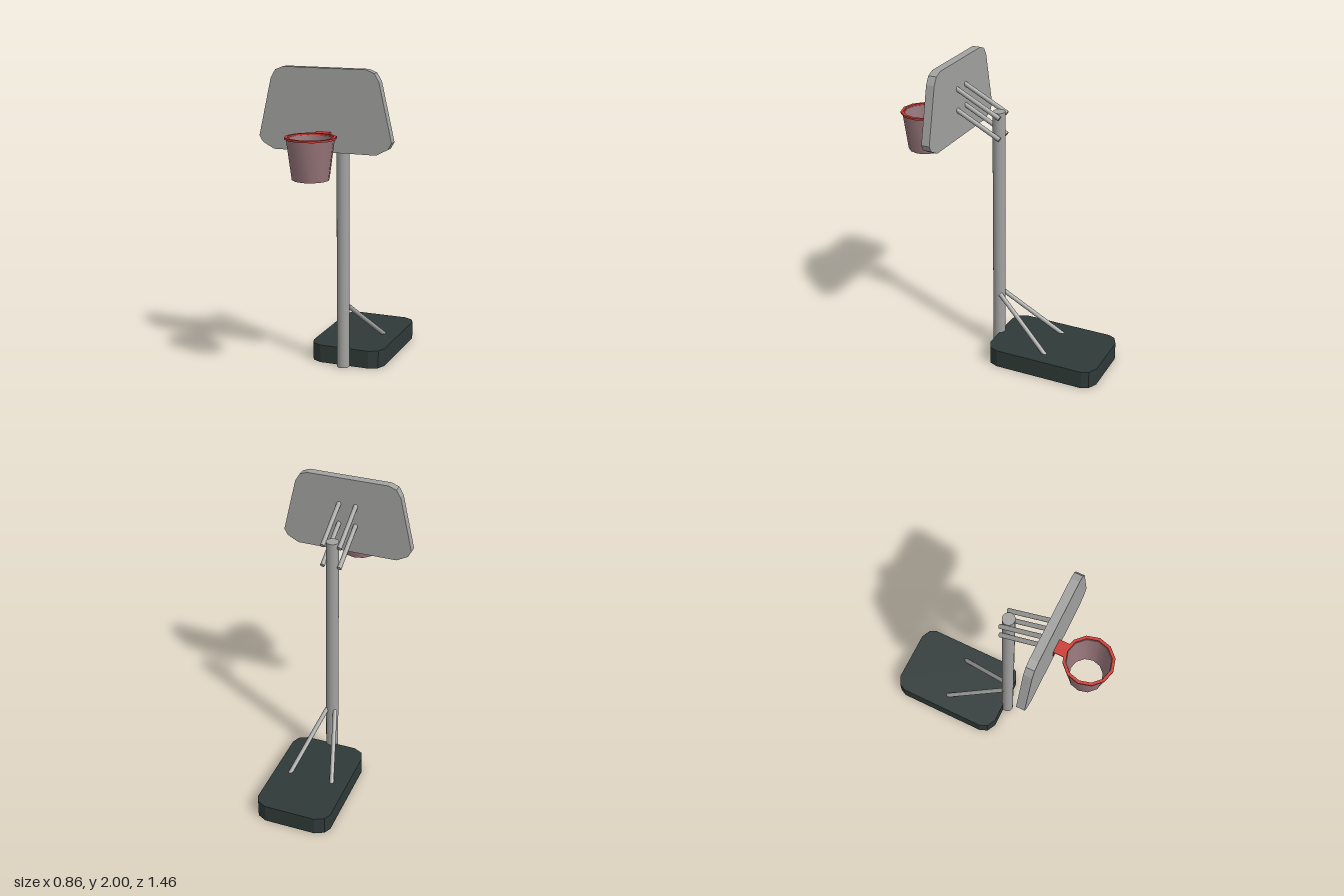
import * as THREE from 'three';
import { toCreasedNormals } from 'three/addons/utils/BufferGeometryUtils.js';

const mat = (name, color) => {
  const m = new THREE.MeshStandardMaterial({ color });
  m.name = name;
  return m;
};

export function createModel() {
  const model = new THREE.Group();
  const grey = mat('metal grey', 0xa2a3a1);
  const dark = mat('base dark green', 0x2f3a38);
  const red = mat('rim red', 0xcb3a32);
  const pink = mat('net dusty pink', 0x98777b);

  const add = (name, geometry, material, x = 0, y = 0, z = 0) => {
    const mesh = new THREE.Mesh(geometry, material);
    mesh.name = name;
    mesh.position.set(x, y, z);
    model.add(mesh);
    return mesh;
  };

  // Round bar between two points
  const bar = (name, a, b, radius) => {
    const from = new THREE.Vector3(...a), to = new THREE.Vector3(...b);
    const dir = to.clone().sub(from);
    const mesh = add(name, new THREE.CylinderGeometry(radius, radius, dir.length(), 12), grey);
    mesh.position.copy(from).add(to).multiplyScalar(0.5);
    mesh.quaternion.setFromUnitVectors(new THREE.Vector3(0, 1, 0), dir.normalize());
  };

  // Symmetric plate: right half outline from bottom to top, mirrored
  const plate = (half, depth) => {
    const mirrored = half.map(([x, y]) => [-x, y]).reverse();
    const shape = new THREE.Shape([...half, ...mirrored].map(p => new THREE.Vector2(...p)));
    return new THREE.ExtrudeGeometry(shape, { depth, bevelEnabled: false });
  };

  // Ring with a closed profile, sharp at its edges
  const ring = profile => toCreasedNormals(
    new THREE.LatheGeometry(profile.map(p => new THREE.Vector2(...p)), 12), 0.6);

  // Base with clipped corners
  const base = plate([[0.17, -0.03], [0.23, 0], [0.252, 0.055],
    [0.252, 0.655], [0.23, 0.70], [0.17, 0.73]], 0.12);
  base.rotateX(-Math.PI / 2);
  add('base', base, dark);

  // Pole
  add('pole', new THREE.CylinderGeometry(0.041, 0.041, 1.695, 20), grey, 0, 0.8475, 0.045);

  // Braces to the base and arms to the backboard
  for (const s of [-1, 1]) {
    bar('brace', [s * 0.028, 0.415, 0.025], [s * 0.15, 0.105, -0.365], 0.015);
    for (const y of [1.53, 1.67]) {
      bar('boardArm', [s * 0.056, y, 0.015], [s * 0.056, y + 0.155, 0.315], 0.015);
    }
  }

  // Backboard
  add('backboard', plate([[0.335, 1.49], [0.41, 1.53], [0.432, 1.57],
    [0.35, 1.93], [0.32, 1.98], [0.27, 2]], 0.055), grey, 0, 0, 0.305);

  // Rim and its angled bracket
  const hoopZ = 0.572;
  add('rim', ring([[0.138, 1.605], [0.157, 1.605], [0.157, 1.617],
    [0.138, 1.617], [0.138, 1.605]]), red, 0, 0, hoopZ);
  add('bracketTop', new THREE.BoxGeometry(0.09, 0.008, 0.075), red, 0, 1.611, 0.3955);
  add('bracketBack', new THREE.BoxGeometry(0.09, 0.065, 0.008), red, 0, 1.5815, 0.363);

  // Net, open at both ends
  add('net', ring([[0.102, 1.36], [0.113, 1.36], [0.146, 1.607],
    [0.135, 1.607], [0.102, 1.36]]), pink, 0, 0, hoopZ);

  return model;
}
